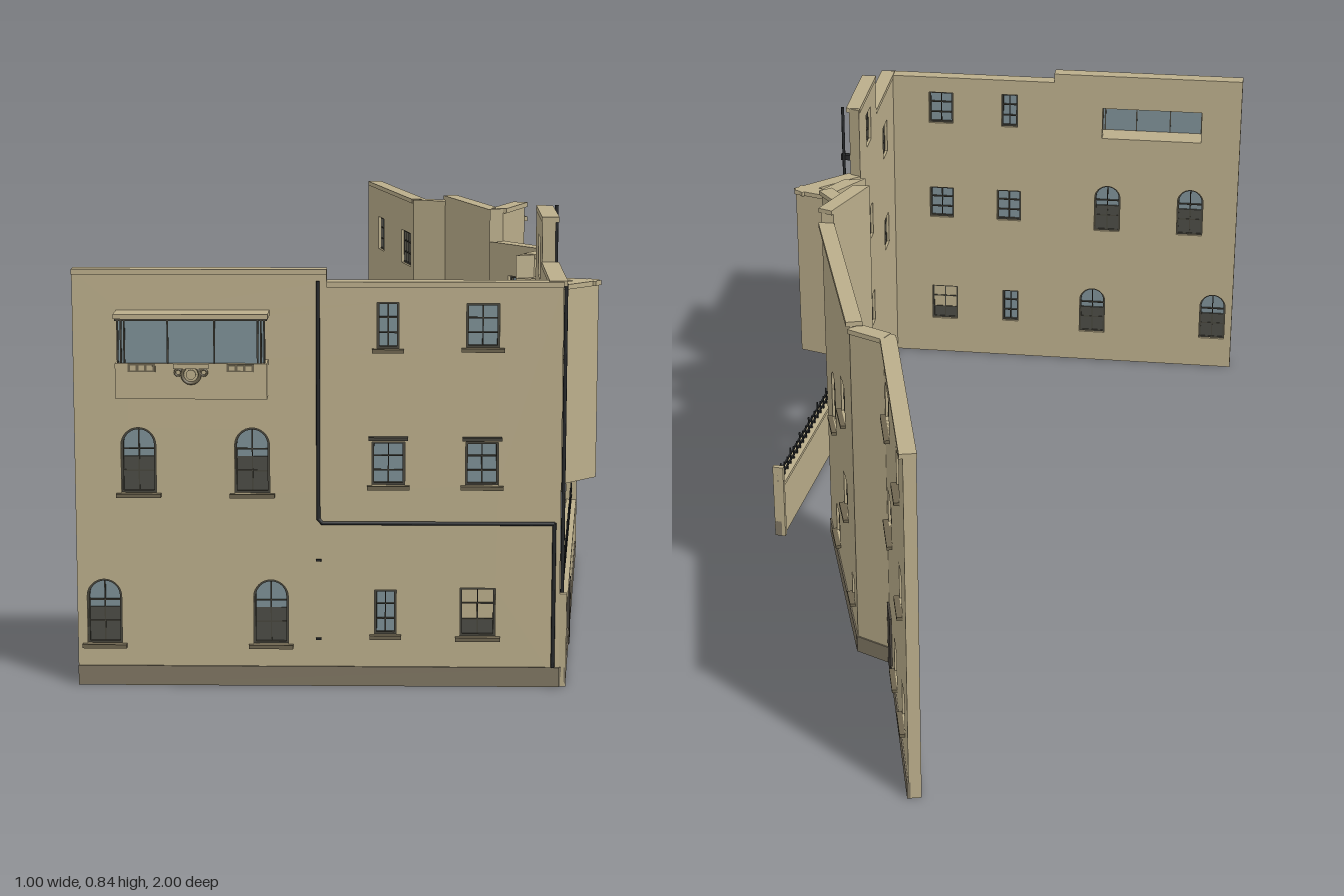
import * as THREE from 'three';

const mat = (name, color, side = THREE.FrontSide) => {
  const m = new THREE.MeshStandardMaterial({ color, side });
  m.name = name;
  return m;
};
const M = {
  stone: mat('sandstone', 0xbbae8b),
  plinth: mat('plinth stone', 0x7f7663),
  sill: mat('sill stone', 0x6e654f),
  frame: mat('window frame', 0x47453c),
  glass: mat('glass', 0x7d9096, THREE.DoubleSide),
  dark: mat('dark pane', 0x4c4c45),
  iron: mat('iron', 0x26282a),
  door: mat('door', 0x454039),
};
const T = 0.025; // wall thickness
const PLINTH = 0.037;

// Outer corners of the walls in plan; the outside lies to the left of travel seen from above
const plan = [[-0.507, 0.945], [0.383, 0.945], [0.383, 0.455], [0.492, 0.35], [0.362, 0.31], [0.408, 0.235],
  [0.305, 0.107], [0.357, -0.03], [0.212, -0.505], [0.138, -0.54], [0.027, -1]];

// Window types: width, height, panes across and up
const type = (w, h, cols, rows, extra) => ({ w, h, cols, rows, ...extra });
const SASH = type(0.06, 0.081, 2, 3);
const HOODED = { ...SASH, hood: true };
const BLIND = { ...SASH, w: 0.065, h: 0.092, blind: true };
const NARROW = type(0.04, 0.085, 2, 3);
const WIDE = type(0.092, 0.08, 4, 3);
const BARRED = type(0.06, 0.072, 4, 4);
const VENT = type(0.035, 0.052, 2, 2);
const ARCHED = type(0.064, 0.122, 2, 3, { arch: true });
const SMALL_ARCH = { ...ARCHED, w: 0.048, h: 0.1 };
const BAY_OPENING = type(0.245, 0.079, 1, 1, { bare: true });
// A row of equal windows with sills at height y
const row = (kind, y, ...centres) => centres.map(c => ({ ...kind, c, y0: y, y1: y + kind.h }));

function add(parent, name, geo, material) {
  const m = new THREE.Mesh(geo, material);
  m.name = name;
  parent.add(m);
  return m;
}
// Box given by its extents
function box(parent, name, material, x0, x1, y0, y1, z0, z1) {
  const g = new THREE.BoxGeometry(x1 - x0, y1 - y0, z1 - z0);
  g.translate((x0 + x1) / 2, (y0 + y1) / 2, (z0 + z1) / 2);
  return add(parent, name, g, material);
}
// Round pipe through [x, y] points at distance z from the wall
function pipe(parent, name, z, ...pts) {
  const r = 0.0035, v = pts.map(([x, y]) => new THREE.Vector3(x, y, z));
  for (let i = 1; i < v.length; i++) {
    const run = v[i].clone().sub(v[i - 1]);
    const m = add(parent, name, new THREE.CylinderGeometry(r, r, run.length() + r, 8), M.iron);
    m.position.copy(v[i]).add(v[i - 1]).multiplyScalar(0.5);
    m.quaternion.setFromUnitVectors(new THREE.Vector3(0, 1, 0), run.normalize());
  }
}
// Outline of an opening, square or round-headed, inset by e
function outline(o, e, Type) {
  const s = new Type(), a = o.a + e, b = o.b - e, y0 = o.y0 + e, y1 = o.y1 - e, r = (b - a) / 2;
  s.moveTo(a, y0);
  s.lineTo(b, y0);
  if (o.arch) s.absarc(a + r, y1 - r, r, 0, Math.PI, false);
  else s.lineTo(b, y1).lineTo(a, y1);
  s.closePath();
  return s;
}
const extrude = (shape, depth, z) =>
  new THREE.ExtrudeGeometry(shape, { depth, bevelEnabled: false, curveSegments: 8 }).translate(0, 0, z);

function windowUnit(parent, o) {
  const g = new THREE.Group();
  g.name = o.arch ? 'archedWindow' : 'window';
  parent.add(g);
  const e = 0.004, w = 0.0012, h = o.y1 - o.y0, ring = outline(o, 0, THREE.Shape);
  const a = o.a + e, b = o.b - e, y0 = o.y0 + e, y1 = o.y1 - e;
  ring.holes.push(outline(o, e, THREE.Path));
  add(g, 'frame', extrude(ring, 0.014, -0.019), M.frame);
  if (o.blind) box(g, 'blind', M.stone, a, b, y0, y1, -0.016, -0.013);
  else add(g, 'glass', new THREE.ShapeGeometry(outline(o, e / 2, THREE.Shape), 8).translate(0, 0, -0.013), M.glass);
  if (o.arch || o.blind) box(g, 'lowerPane', M.dark, a, b, y0, o.y0 + h * (o.arch ? 0.55 : 0.34), -0.017, -0.011);
  for (let i = 1; i < o.cols; i++) {
    const x = o.a + (o.b - o.a) * i / o.cols;
    box(g, 'mullion', M.frame, x - w, x + w, y0, y1, -0.018, -0.009);
  }
  for (let i = 1; i < o.rows; i++) {
    const y = o.y0 + h * i / o.rows;
    box(g, 'glazingBar', M.frame, a, b, y - w, y + w, -0.018, -0.009);
  }
  box(g, 'sill', M.sill, a - 0.013, b + 0.013, o.y0 - 0.007, o.y0, -e, 0.011);
  if (o.hood) box(g, 'hood', M.frame, a - 0.01, b + 0.01, y1 + 0.008, y1 + 0.014, 0, 0.012);
}

// Group whose x runs along the wall and whose z points outwards
function along(parent, name, p, q) {
  const g = new THREE.Group();
  g.name = name;
  g.position.set(p[0], 0, p[1]);
  g.rotation.y = Math.atan2(p[1] - q[1], q[0] - p[0]);
  parent.add(g);
  return g;
}
// Turn at a plan corner: positive where the corner juts outwards
function turn(i) {
  if (i === 0 || i === plan.length - 1) return 0;
  const dir = k => Math.atan2(plan[k + 1][1] - plan[k][1], plan[k + 1][0] - plan[k][0]);
  const d = dir(i - 1) - dir(i);
  return Math.atan2(Math.sin(d), Math.cos(d));
}
// Wall i of the plan, with a top that may step at one place, mitred ends and openings.
// Openings and steps are placed by x on the front wall and by z on the others.
function wall(parent, i, name, { top, base = 0, step, windows = [], door }) {
  const p = plan[i], q = plan[i + 1], axis = i === 0 ? 0 : 1;
  const g = along(parent, name, p, q), len = Math.hypot(q[0] - p[0], q[1] - p[1]);
  const u = v => (v - p[axis]) / (q[axis] - p[axis]) * len;
  const at = step ? u(step.at) : len, endTop = step ? step.top : top;
  const coping = (x0, x1, y) => box(g, 'coping', M.stone, x0, x1, y - 0.009, y + 0.001, -T - 0.001, 0.007);
  const s = new THREE.Shape().moveTo(0, base).lineTo(len, base).lineTo(len, endTop);
  if (step) {
    s.lineTo(at, endTop).lineTo(at, top);
    coping(at, len, endTop);
  }
  coping(0, at, top);
  s.lineTo(0, top).closePath();
  for (const w of windows) {
    const o = { ...w, a: u(w.c) - w.w / 2, b: u(w.c) + w.w / 2 };
    s.holes.push(outline(o, 0, THREE.Path));
    if (!o.bare) windowUnit(g, o);
  }
  const geo = extrude(s, T, -T), pos = geo.attributes.position;
  for (let k = 0; k < pos.count; k++) {
    if (pos.getZ(k) > -T / 2) continue;
    if (pos.getX(k) < 1e-4) pos.setX(k, T * Math.tan(turn(i) / 2));
    else if (pos.getX(k) > len - 1e-4) pos.setX(k, len - T * Math.tan(turn(i + 1) / 2));
  }
  geo.computeVertexNormals();
  add(g, 'masonry', geo, M.stone);
  if (!base) box(g, 'plinth', M.plinth, 0, len, 0, PLINTH, -0.004, 0.003);
  if (door) box(g, 'door', M.door, u(door) - 0.033, u(door) + 0.033, 0.005, 0.15, -0.004, 0.005);
  return g;
}

// Projecting glazed bay with carved apron, centred on its own x
function oriel(parent) {
  const g = new THREE.Group();
  g.name = 'oriel';
  g.position.set(-0.288, 0.613, 0.945);
  parent.add(g);
  const w = 0.137, h = 0.081, z = 0.042;
  box(g, 'apron', M.stone, -w, w, -0.065, 0, 0, 0.05);
  box(g, 'roof', M.stone, -w - 0.002, w + 0.002, h, h + 0.009, 0, 0.055);
  box(g, 'frontGlass', M.glass, -w + 0.012, w - 0.012, 0, h, z - 0.002, z + 0.002);
  box(g, 'topRail', M.frame, -w, w, h - 0.004, h, z - 0.004, z + 0.005);
  const mullion = x => box(g, 'mullion', M.frame, x - 0.0015, x + 0.0015, 0, h, z - 0.004, z + 0.005);
  for (const s of [-1, 1]) {
    const x = s * (w - 0.008);
    box(g, 'sideGlass', M.glass, x - 0.002, x + 0.002, 0, h, 0, z);
    for (const k of [0.005, 0.011, 0.017, 0.095]) mullion(s * (w - k));
    const c = s * 0.089;
    box(g, 'carvedBlock', M.sill, c - 0.025, c + 0.025, -0.015, 0, 0.048, 0.052);
    for (const k of [-1, 0, 1]) {
      const leaf = add(g, 'carvedLeaf', new THREE.BoxGeometry(0.01, 0.009, 0.004), M.stone);
      leaf.position.set(c + k * 0.015, -0.0075, 0.052);
    }
    add(g, 'crestScroll', new THREE.TorusGeometry(0.006, 0.002, 6, 12), M.sill).position.set(s * 0.023, -0.016, 0.05);
  }
  box(g, 'crestTop', M.stone, -0.032, 0.032, -0.009, 0, 0.05, 0.054);
  add(g, 'crestRing', new THREE.TorusGeometry(0.016, 0.003, 6, 16), M.sill).position.set(0, -0.02, 0.05);
  const boss = add(g, 'crestBoss', new THREE.CylinderGeometry(0.009, 0.009, 0.006, 12), M.stone);
  boss.rotation.x = Math.PI / 2;
  boss.position.set(0, -0.02, 0.05);
}

// Low boundary wall with iron railing, door and end piers
function boundary(parent) {
  const p = [0.392, 0.945], q = [0.478, -0.06];
  const g = along(parent, 'boundaryWall', p, q), len = Math.hypot(q[0] - p[0], q[1] - p[1]), n = 40;
  box(g, 'masonry', M.stone, 0, len, 0, 0.125, -0.016, 0);
  box(g, 'coping', M.stone, 0, len, 0.125, 0.133, -0.019, 0.003);
  box(g, 'plinth', M.plinth, 0, len, 0, PLINTH, -0.012, 0.003);
  box(g, 'door', M.door, 0.276, 0.341, 0.004, 0.124, -0.018, 0.005);
  for (const x of [0, len - 0.011]) box(g, 'pier', M.stone, x, x + 0.011, 0, 0.177, -0.02, 0.004);
  for (const y of [0.143, 0.158]) box(g, 'rail', M.iron, 0, len, y - 0.0015, y + 0.0015, -0.01, -0.006);
  for (let i = 1; i < n; i++) {
    const x = len * i / n;
    box(g, 'picket', M.iron, x - 0.0015, x + 0.0015, 0.13, i % 3 ? 0.164 : 0.174, -0.0095, -0.0065);
  }
}

export function createModel() {
  const root = new THREE.Group();
  root.name = 'streetFacades';
  const front = wall(root, 0, 'frontWall', { top: 0.777, step: { at: -0.045, top: 0.755 }, windows: [
    ...row(NARROW, 0.633, 0.066), ...row(SASH, 0.635, 0.238), ...row(HOODED, 0.38, 0.067, 0.238),
    ...row(NARROW, 0.098, 0.062), ...row(BLIND, 0.095, 0.232), ...row(ARCHED, 0.364, -0.39, -0.182),
    ...row(ARCHED, 0.079, -0.457, -0.149), ...row(BAY_OPENING, 0.614, -0.288)] });
  const side = wall(root, 1, 'sideWall', { top: 0.757, step: { at: 0.675, top: 0.843 }, windows: [
    0.595, 0.35].flatMap(y => row(SASH, y, 0.79)).concat([0.715, 0.47, 0.238].flatMap(y => row(SASH, y, 0.568))) });
  wall(root, 2, 'raisedBay', { base: 0.27, top: 0.68 });
  const bayReturn = wall(root, 3, 'raisedBayReturn', { base: 0.27, top: 0.68 });
  wall(root, 4, 'raisedLink', { base: 0.27, top: 0.727 });
  wall(root, 5, 'raisedWindowWall', { base: 0.27, top: 0.73, windows: [
    ...row(SASH, 0.583, 0.167), ...row(SMALL_ARCH, 0.34, 0.154)] });
  wall(root, 6, 'raisedTallWall', { base: 0.27, top: 0.8 });
  wall(root, 7, 'rearWall', { top: 0.768, windows: [
    ...row(ARCHED, 0.354, -0.163), ...row(SASH, 0.471, -0.347), ...row(SASH, 0.247, -0.349),
    ...row(BARRED, 0.078, -0.177), ...row(VENT, 0.093, -0.444)] });
  wall(root, 8, 'rearReturn', { top: 0.755 });
  wall(root, 9, 'rearEndWall', { top: 0.755, door: -0.575, windows: [
    ...row(WIDE, 0.592, -0.602), ...row(WIDE, 0.36, -0.616), ...row(SASH, 0.068, -0.699),
    ...row(SASH, 0.596, -0.86), ...row(SASH, 0.358, -0.88), ...row(SASH, 0.104, -0.899)] });
  oriel(root);
  boundary(root);

  // Rainwater pipes, in each wall's own frame
  pipe(front, 'frontDrainpipe', 0.006, [0.446, 0.755], [0.446, 0.318], [0.453, 0.31], [0.878, 0.31], [0.878, 0.04]);
  for (const y of [0.09, 0.239]) box(front, 'wallClip', M.iron, 0.441, 0.451, y - 0.002, y + 0.002, 0, 0.005);
  pipe(side, 'cornerDrainpipe', 0.005, [0.012, 0.02], [0.012, 0.75]);
  pipe(side, 'tallDrainpipe', 0.015, [0.488, 0.14], [0.488, 0.843]);
  box(side, 'hopper', M.iron, 0.476, 0.49, 0.715, 0.727, 0, 0.022);
  pipe(bayReturn, 'bayDrainpipe', 0.006, [0.124, 0.275], [0.124, 0.675]);
  return root;
}
